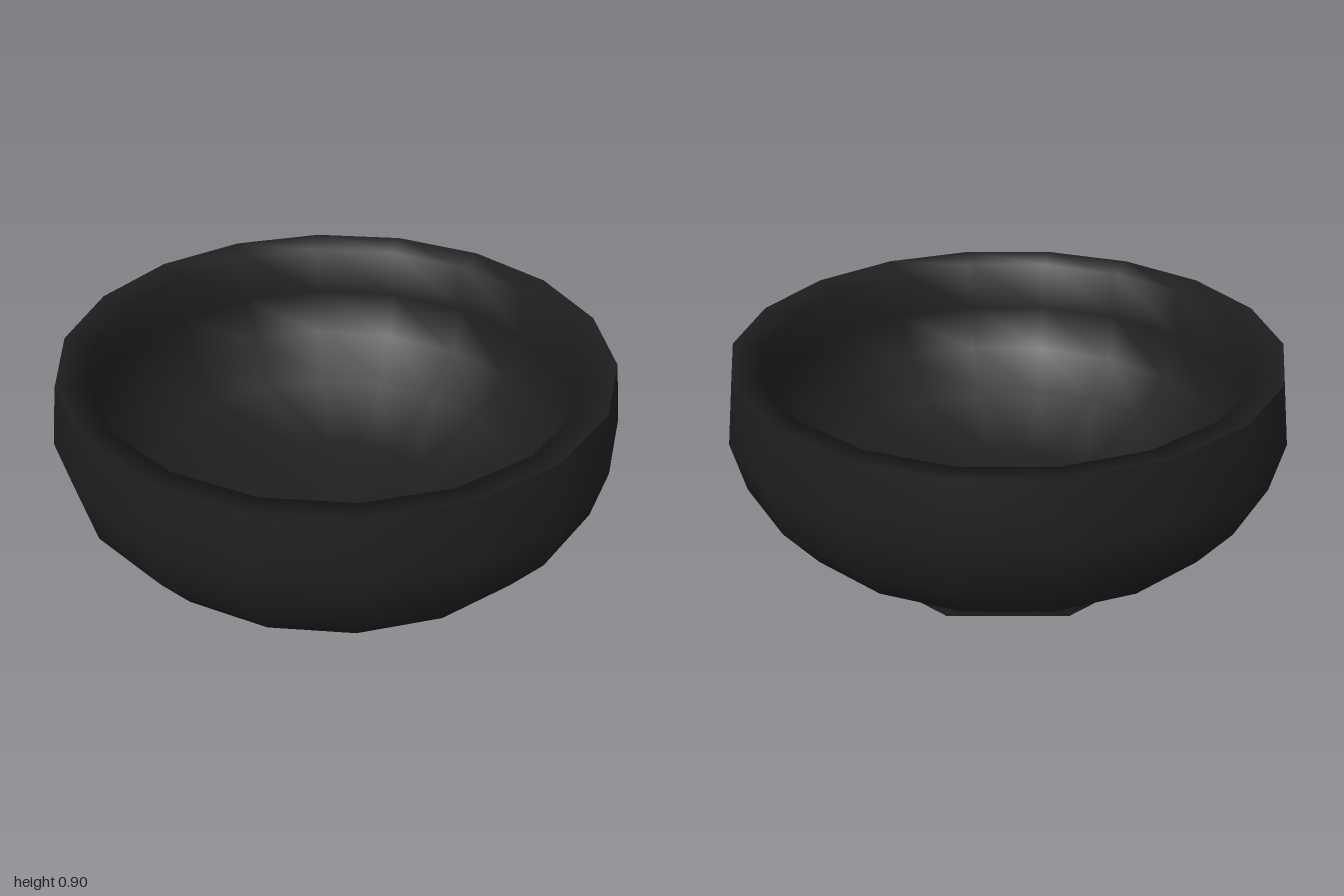
import * as THREE from 'three';
import { toCreasedNormals } from 'three/addons/utils/BufferGeometryUtils.js';
import { ConvexGeometry } from 'three/addons/geometries/ConvexGeometry.js';

const SIDES = 18;
const FOOT_RADIUS = 0.44;
const FOOT_HEIGHT = 0.165;

// Corner angles of the foot in degrees, measured from +z towards +x
const FOOT_BOTTOM = [40, 60, 100, 140, 160, 220, 240, 300, 340];
const FOOT_TOP = [20, 60, 120, 160, 200, 240, 280, 340];

// Surface of revolution from [radius, height] pairs
function turned(name, profile, material) {
  const points = profile.map(([r, y]) => new THREE.Vector2(r, y));
  const mesh = new THREE.Mesh(new THREE.LatheGeometry(points, SIDES), material);
  mesh.name = name;
  return mesh;
}

function corner(deg, y) {
  const a = THREE.MathUtils.degToRad(deg);
  return new THREE.Vector3(FOOT_RADIUS * Math.sin(a), y, FOOT_RADIUS * Math.cos(a));
}

// Angle between two directions in degrees, 0 to 180
function gap(a, b) {
  const d = Math.abs(a - b) % 360;
  return Math.min(d, 360 - d);
}

export function createModel() {
  const model = new THREE.Group();
  model.name = 'bowl';
  const black = new THREE.MeshStandardMaterial({ color: 0x1e1e1e });
  black.name = 'black glaze';

  // Outer wall, flaring from the foot and closing slightly at the rim
  const wallProfile = [
    [FOOT_RADIUS, FOOT_HEIGHT], [0.83, 0.335], [0.955, 0.495], [1, 0.68], [0.97, 0.9],
  ];
  const wall = turned('outerWall', wallProfile, black);
  // Its lowest ring is gathered onto the fewer corners of the foot
  const position = wall.geometry.attributes.position;
  for (let i = 0; i <= SIDES; i++) {
    const deg = (i * 360) / SIDES;
    const nearest = FOOT_TOP.reduce((a, b) => (gap(b, deg) < gap(a, deg) ? b : a));
    const p = corner(nearest, FOOT_HEIGHT);
    position.setXYZ(i * wallProfile.length, p.x, p.y, p.z);
  }
  model.add(wall);

  // Rim running smoothly into the rounded hollow
  model.add(turned('rimAndHollow', [
    [0.97, 0.9], [0.865, 0.88], [0.875, 0.69], [0.82, 0.52], [0.69, 0.375], [0.39, 0.255], [0, 0.22],
  ], black));

  // Foot: a rough facetted drum whose upper and lower corners do not line up
  const footPoints = [
    ...FOOT_BOTTOM.map((deg) => corner(deg, 0)),
    ...FOOT_TOP.map((deg) => corner(deg, FOOT_HEIGHT)),
  ];
  const foot = new THREE.Mesh(toCreasedNormals(new ConvexGeometry(footPoints), 1.1), black);
  foot.name = 'foot';
  model.add(foot);

  return model;
}
